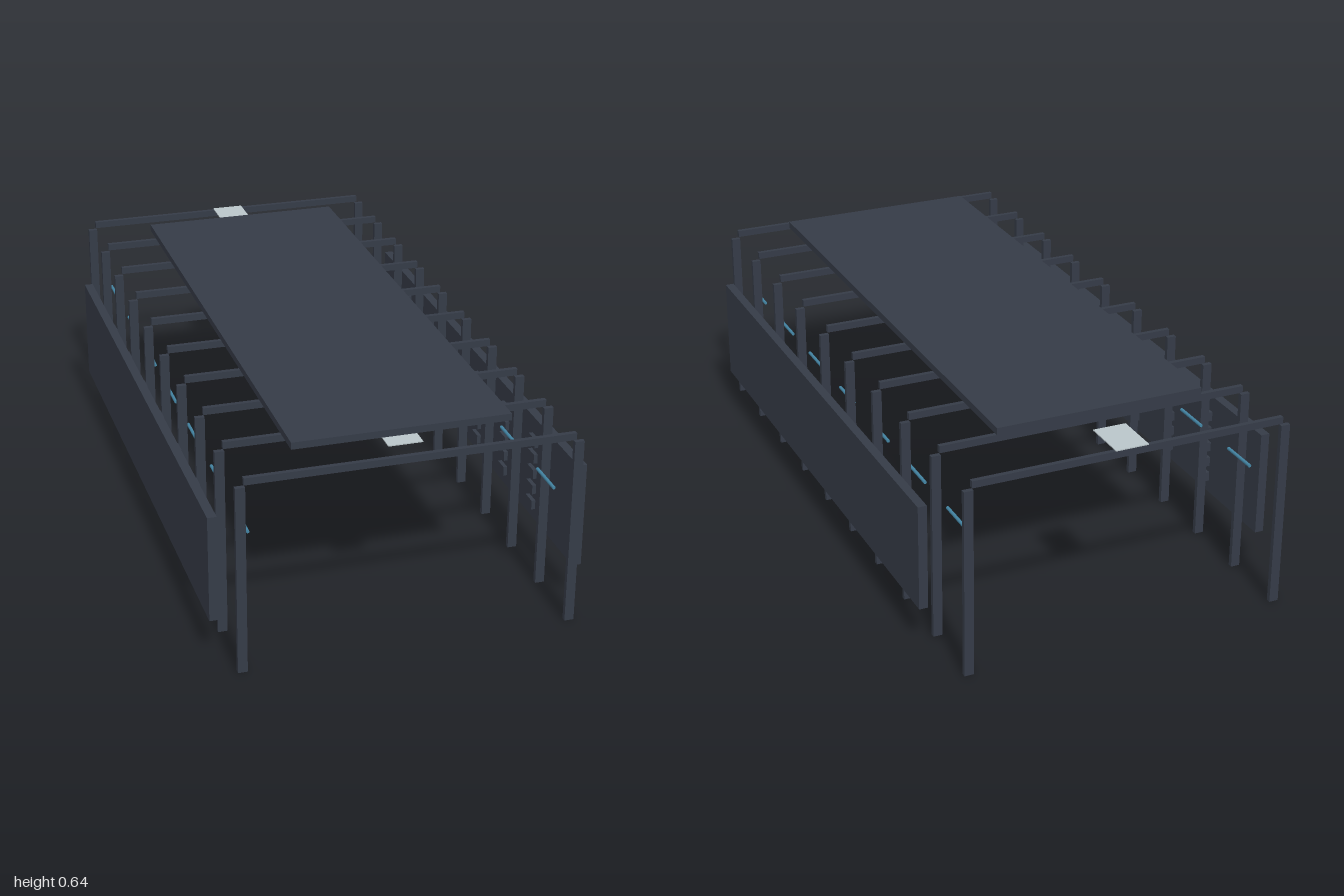
import * as THREE from 'three';

export function createModel() {
  const model = new THREE.Group();
  model.name = 'framedHall';

  const material = (name, color) => {
    const m = new THREE.MeshStandardMaterial({ color });
    m.name = name;
    return m;
  };
  const slate = material('darkSlate', 0x353b47);
  const pale = material('paleGlass', 0xb9c5c9);
  const blue = material('stripBlue', 0x4384a3);

  const add = (name, geometry, mat, x, y, z) => {
    const mesh = new THREE.Mesh(geometry, mat);
    mesh.name = name;
    mesh.position.set(x, y, z);
    model.add(mesh);
    return mesh;
  };

  // Row of portal frames: two posts and a cross beam each
  const post = new THREE.BoxGeometry(0.028, 0.57, 0.014);
  const beam = new THREE.BoxGeometry(0.944, 0.021, 0.014);
  for (let i = 0; i < 10; i++) {
    const z = -0.993 + (i * 1.986) / 9;
    for (const side of [-1, 1]) add('framePost', post, slate, side * 0.482, 0.285, z);
    add('frameBeam', beam, slate, 0, 0.587, z);
  }

  // Roof slab and side walls
  const shellZ = 0.048;
  add('roofPanel', new THREE.BoxGeometry(0.632, 0.021, 1.719), slate, 0, 0.625, shellZ);
  const wall = new THREE.BoxGeometry(0.027, 0.322, 1.719);
  const slat = new THREE.BoxGeometry(0.012, 0.029, 0.047);
  const strip = new THREE.CylinderGeometry(0.005, 0.005, 0.122, 8).rotateX(Math.PI / 2);
  for (const side of [-1, 1]) {
    add('sideWall', wall, slate, side * 0.5375, 0.282, shellZ);

    // Columns of small vent slats inside the wall
    for (let column = 0; column < 6; column++) {
      for (let row = 0; row < 5; row++) {
        add('ventSlat', slat, slate, side * 0.51, 0.182 + row * 0.051, -0.521 + column * 0.2274);
      }
    }

    // Slim light strips along the posts
    for (let i = 0; i < 7; i++) {
      add('lightStrip', strip, blue, side * 0.444, 0.396, -0.826 + i * 0.2823);
    }
  }

  // Thin ceiling plates down the centre line
  const plate = new THREE.BoxGeometry(0.1, 0.003, 0.138);
  for (let i = 0; i < 7; i++) {
    add('ceilingPlate', plate, pale, 0, 0.599, -0.931 + i * 0.299);
  }

  return model;
}
